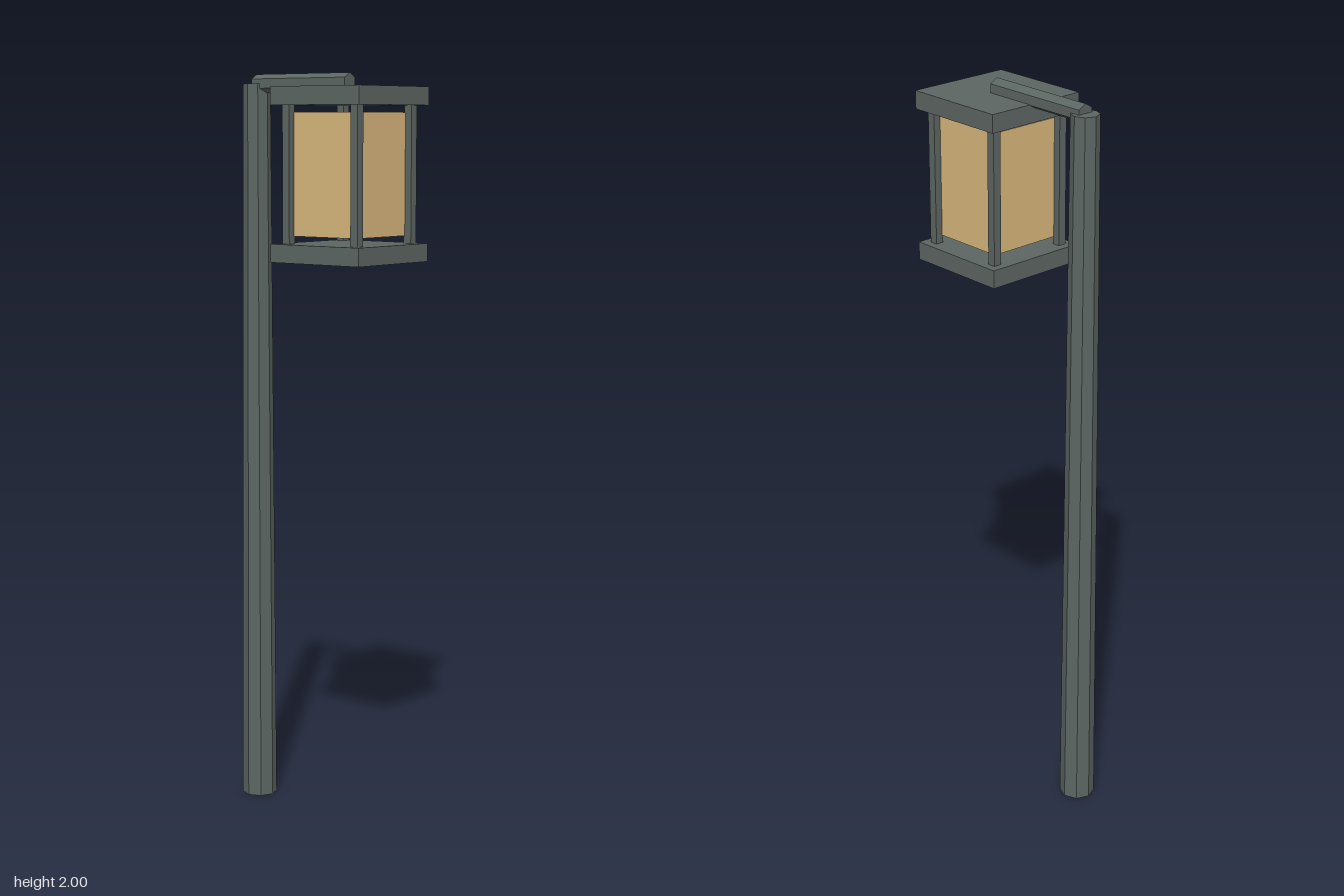
import * as THREE from 'three';

const metal = new THREE.MeshStandardMaterial({ color: 0x5c6662, flatShading: true });
const amber = new THREE.MeshStandardMaterial({ color: 0xd9b77c, flatShading: true });

const POLE_X = -0.21;
const LAMP_X = 0.11;
const ARM_Y = 1.975;

function add(parent, name, geometry, material, x, y, z) {
  const mesh = new THREE.Mesh(geometry, material);
  mesh.name = name;
  mesh.position.set(x, y, z);
  parent.add(mesh);
  return mesh;
}

export function createModel() {
  const model = new THREE.Group();
  model.name = 'streetLamp';

  // Tapered eight-sided pole
  add(model, 'pole', new THREE.CylinderGeometry(0.037, 0.048, ARM_Y, 8), metal, POLE_X, ARM_Y / 2, 0);

  // Six-sided arm with a ridge on top
  const armLength = LAMP_X - POLE_X;
  const armGeometry = new THREE.CylinderGeometry(0.025, 0.025, armLength, 6);
  armGeometry.rotateY(Math.PI / 6).rotateZ(Math.PI / 2);
  add(model, 'arm', armGeometry, metal, POLE_X + armLength / 2, ARM_Y, 0);

  // Lantern hung from the end of the arm
  const lantern = new THREE.Group();
  lantern.name = 'lantern';
  lantern.position.x = LAMP_X;
  model.add(lantern);

  const plate = new THREE.BoxGeometry(0.293, 0.048, 0.293);
  add(lantern, 'lanternRoof', plate, metal, 0, 1.94, 0);
  add(lantern, 'lanternBase', plate, metal, 0, 1.534, 0);
  add(lantern, 'glass', new THREE.BoxGeometry(0.209, 0.32, 0.209), amber, 0, 1.738, 0);

  // Four corner posts
  const post = new THREE.BoxGeometry(0.023, 0.366, 0.023);
  for (const sx of [-1, 1]) {
    for (const sz of [-1, 1]) {
      add(lantern, 'cornerPost', post, metal, sx * 0.113, 1.737, sz * 0.113);
    }
  }

  return model;
}
